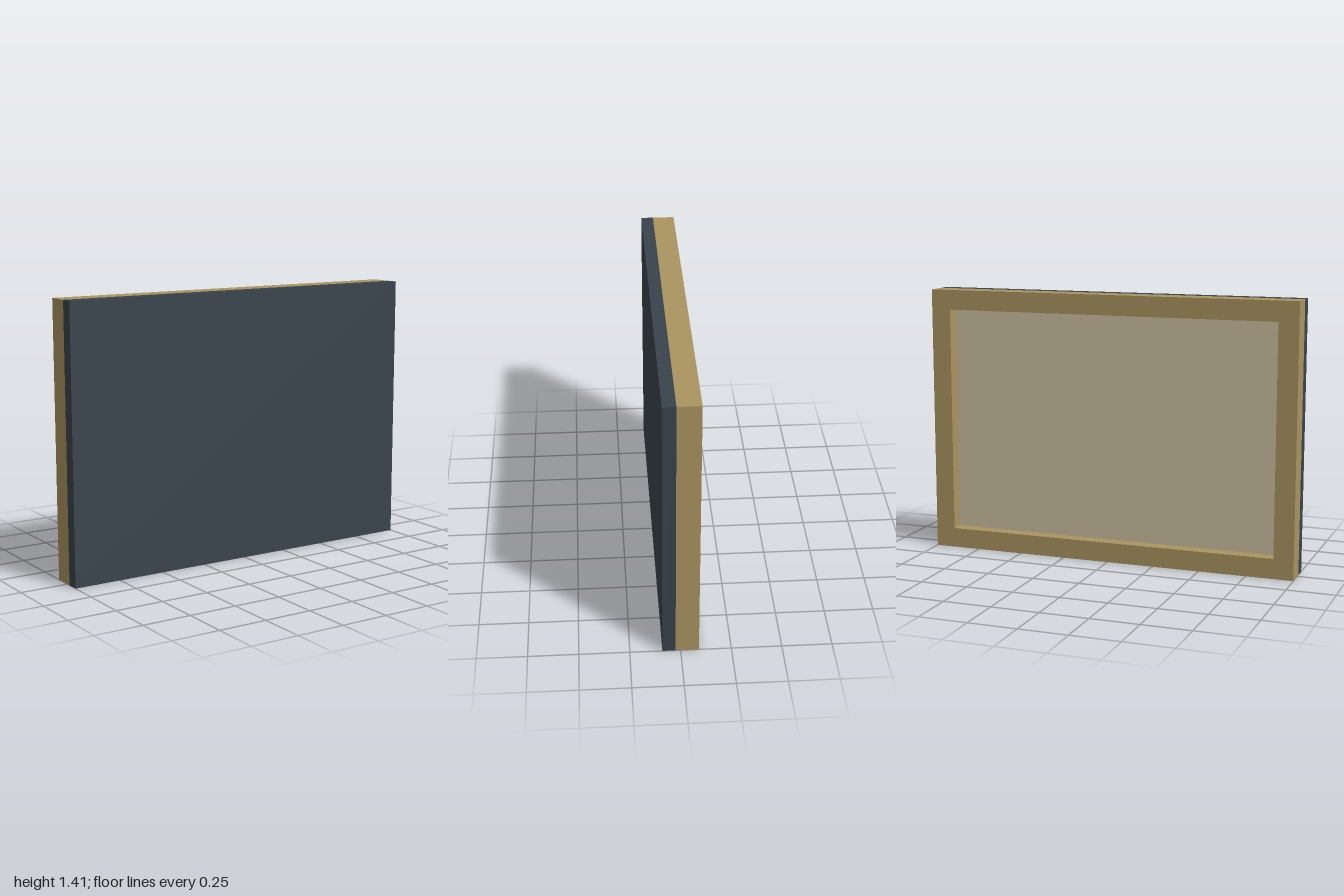
import * as THREE from 'three';

const W = 2, H = 1.41, BACK = -0.09, SEAM = 0.025, FRONT = 0.09;
const RAIL = 0.105, RECESS = -0.02;

const mat = (name, color) => {
  const m = new THREE.MeshStandardMaterial({ color });
  m.name = name;
  return m;
};

// Box given by its size and z range, centred on the panel
function slab(name, w, h, z0, z1, material) {
  const mesh = new THREE.Mesh(new THREE.BoxGeometry(w, h, z1 - z0), material);
  mesh.name = name;
  mesh.position.set(0, H / 2, (z0 + z1) / 2);
  return mesh;
}

// Counter-clockwise rectangle outline
const rect = (Type, w, h) => new Type([
  [-w, -h], [w, -h], [w, h], [-w, h],
].map(([x, y]) => new THREE.Vector2(x / 2, y / 2)));

export function createModel() {
  const wood = mat('tan wood', 0xab9460);
  const linen = mat('pale linen', 0xcdc0a1);
  const slate = mat('dark slate', 0x39444c);
  const group = new THREE.Group();
  group.name = 'framedPanel';

  // Wooden stretcher frame, open at the back
  const outline = rect(THREE.Shape, W, H);
  outline.holes.push(rect(THREE.Path, W - 2 * RAIL, H - 2 * RAIL));
  const frame = new THREE.Mesh(
    new THREE.ExtrudeGeometry(outline, { depth: SEAM - BACK, bevelEnabled: false }), wood);
  frame.name = 'stretcherFrame';
  frame.position.set(0, H / 2, BACK);
  group.add(frame);

  // Backing seen inside the frame opening
  group.add(slab('backing', W - 2 * RAIL, H - 2 * RAIL, RECESS, SEAM, linen));

  // Painted front panel
  group.add(slab('frontPanel', W, H, SEAM, FRONT, slate));
  return group;
}
